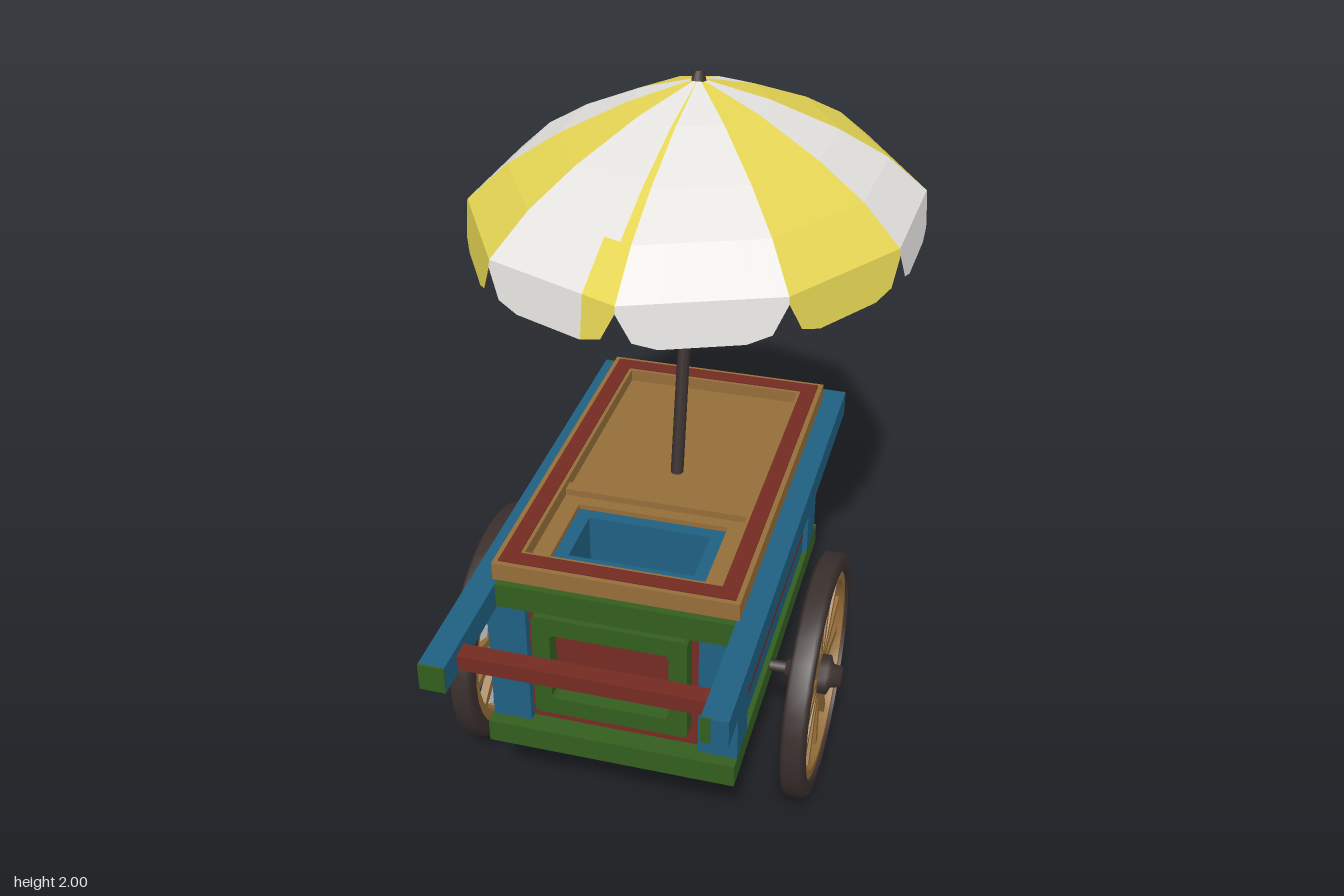
import * as THREE from 'three';

const mat = (name, color) => {
  const m = new THREE.MeshStandardMaterial({ color });
  m.name = name;
  return m;
};

export function createModel() {
  const yellow = mat('canopy yellow', 0xeedd58);
  const white = mat('canopy white', 0xe6e4e1);
  const underYellow = mat('lining brown', 0x956632);
  const underWhite = mat('lining grey', 0x7f6e69);
  const blue = mat('blue paint', 0x206082);
  const red = mat('red paint', 0x742b22);
  const green = mat('green paint', 0x345e1f);
  const tan = mat('tan wood', 0x966e3a);
  const dark = mat('dark iron', 0x3a302e);
  const black = mat('black underside', 0x1e1a19);

  const model = new THREE.Group();
  model.name = 'umbrellaCart';
  const add = (geo, m, name, parent = model) => {
    const mesh = new THREE.Mesh(geo, m);
    mesh.name = name;
    parent.add(mesh);
    return mesh;
  };
  // Box given by its lower and upper limits on each axis
  const slab = (x0, x1, y0, y1, z0, z1, m, name) => {
    const mesh = add(new THREE.BoxGeometry(x1 - x0, y1 - y0, z1 - z0), m, name);
    mesh.position.set((x0 + x1) / 2, (y0 + y1) / 2, (z0 + z1) / 2);
  };
  // Outline of a rectangle with cut corners
  const outline = (w, h, c, Kind) => new Kind([
    [-w + c, -h], [w - c, -h], [w, -h + c], [w, h - c],
    [w - c, h], [-w + c, h], [-w, h - c], [-w, -h + c],
  ].map(([x, y]) => new THREE.Vector2(x, y)));
  const ring = (w, h, hw, hh, depth, c = 0.001) => {
    const s = outline(w, h, c, THREE.Shape);
    s.holes.push(outline(hw, hh, c, THREE.Path));
    return new THREE.ExtrudeGeometry(s, { depth, bevelEnabled: false });
  };
  const flatRing = (w, h, hw, hh, depth, x, y, z, m, name) =>
    add(ring(w, h, hw, hh, depth).rotateX(-Math.PI / 2), m, name).position.set(x, y, z);

  const cx = -0.02; // middle of the cart body

  // Base
  slab(cx - 0.355, cx + 0.35, 0.3, 0.37, -0.5, 0.66, green, 'base');
  slab(cx - 0.335, cx + 0.33, 0.296, 0.302, -0.48, 0.5, black, 'underside');
  slab(cx - 0.335, cx + 0.33, 0.296, 0.302, 0.5, 0.64, blue, 'undersideFront');

  // Posts, side sills and planks
  for (const s of [-1, 1]) {
    const side = (a, b, ...rest) => slab(cx + Math.min(s * a, s * b), cx + Math.max(s * a, s * b), ...rest);
    side(0.24, 0.35, 0.37, 0.78, 0.51, 0.625, blue, 'frontPost');
    side(0.28, 0.35, 0.37, 0.78, -0.46, -0.34, blue, 'backPost');
    side(0.29, 0.335, 0.37, 0.43, -0.34, 0.51, blue, 'sideSill');
    side(0.29, 0.32, 0.43, 0.79, -0.34, 0.51, dark, 'plankBacking');
    for (let i = 0; i < 3; i++) {
      const y = 0.43 + i * 0.115;
      side(0.3, 0.335, y, y + 0.11, -0.34, 0.51, red, 'sidePlank');
    }
  }

  // End panels with raised frames
  slab(cx - 0.25, cx + 0.25, 0.37, 0.79, 0.56, 0.6, red, 'frontPanel');
  add(ring(0.215, 0.165, 0.165, 0.11, 0.05, 0.008), green, 'frontPanelFrame').position.set(cx, 0.6, 0.6);
  slab(cx - 0.29, cx + 0.29, 0.37, 0.79, -0.455, -0.42, red, 'backPanel');
  add(ring(0.3, 0.165, 0.25, 0.115, 0.04, 0.04), green, 'backPanelFrame').position.set(cx, 0.575, -0.495);

  // Handle beams, cross beams and push bar
  for (const [x0, x1] of [[-0.4, -0.33], [0.32, 0.39]]) {
    slab(x0, x1, 0.775, 0.853, -0.555, 0.995, blue, 'handleBeam');
  }
  slab(-0.4, -0.33, 0.775, 0.853, 0.995, 1, green, 'rightBeamFrontEnd');
  slab(0.32, 0.345, 0.775, 0.853, 0.995, 1, green, 'leftBeamFrontEnd');
  slab(0.345, 0.39, 0.775, 0.853, 0.995, 1, blue, 'leftBeamFrontEnd');
  slab(0.355, 0.39, 0.775, 0.853, -0.56, -0.555, green, 'leftBeamBackEnd');
  slab(-0.4, -0.365, 0.775, 0.853, -0.56, -0.555, green, 'rightBeamBackEnd');
  slab(-0.33, 0.32, 0.78, 0.853, 0.59, 0.65, green, 'frontCrossBeam');
  slab(-0.365, 0.355, 0.775, 0.853, -0.56, -0.44, blue, 'backCrossBeam');
  slab(-0.335, 0.325, 0.785, 0.83, 0.87, 0.92, red, 'pushBar');

  // Counter top: rim, inlay, deck and well
  const tx = -0.008;
  flatRing(0.336, 0.565, 0.266, 0.495, 0.06, tx, 0.845, 0.065, tan, 'topRim');
  flatRing(0.322, 0.551, 0.276, 0.505, 0.005, tx, 0.903, 0.065, red, 'topInlay');
  slab(tx - 0.27, tx + 0.27, 0.84, 0.868, -0.435, 0.2, tan, 'deck');
  slab(tx - 0.266, tx + 0.266, 0.84, 0.885, 0.19, 0.225, tan, 'deckEdge');
  flatRing(0.268, 0.175, 0.215, 0.125, 0.03, tx, 0.835, 0.385, tan, 'wellLedge');
  flatRing(0.225, 0.135, 0.175, 0.09, 0.22, tx, 0.63, 0.385, blue, 'wellWall');
  slab(tx - 0.2, tx + 0.2, 0.62, 0.65, 0.27, 0.5, blue, 'wellFloor');

  // Wheels
  const spokes = 14;
  for (const [x, s] of [[-0.5, -1], [0.468, 1]]) {
    const wheel = new THREE.Group();
    wheel.name = s < 0 ? 'rightWheel' : 'leftWheel';
    const hoop = (r0, r1, w, m, name) => {
      const b = Math.min(0.012, w / 3);
      const pts = [[r0, -w], [r1 - b, -w], [r1, -w + b], [r1, w - b], [r1 - b, w], [r0, w], [r0, -w]];
      const prof = pts.map(([r, y]) => new THREE.Vector2(r, y));
      add(new THREE.LatheGeometry(prof, 32).rotateZ(Math.PI / 2), m, name, wheel);
    };
    hoop(0.305, 0.35, 0.034, dark, 'tyre');
    hoop(0.272, 0.307, 0.026, tan, 'rim');
    const radial = (i, w, h, d, r, m, name) => {
      const g = new THREE.BoxGeometry(w, h, d).translate(0, r, 0);
      add(g.rotateX(i / spokes * Math.PI * 2), m, name, wheel);
    };
    for (let i = 0; i < spokes; i++) radial(i, 0.024, 0.25, 0.026, 0.16, tan, 'spoke');
    // pale infill plates between some spokes
    for (const i of [2, 3, 5, 6, 8]) radial(i + 0.5, 0.009, 0.1, 0.036, 0.205, white, 'infillPlate');
    const hub = [[0, -0.09], [0.025, -0.09], [0.035, -0.04], [0.058, -0.03], [0.058, 0.035], [0.035, 0.045], [0.03, 0.075], [0, 0.075]];
    const hubGeo = new THREE.LatheGeometry(hub.map(([r, y]) => new THREE.Vector2(r, y)), 12);
    add(hubGeo.rotateZ(-s * Math.PI / 2), dark, 'hub', wheel);
    wheel.position.set(x, 0.35, 0.2);
    wheel.scale.z = 1.06;
    model.add(wheel);
  }
  add(new THREE.CylinderGeometry(0.018, 0.018, 0.9, 8).rotateZ(Math.PI / 2), dark, 'axle').position.set(cx, 0.35, 0.2);

  // Tilted umbrella pole and finial
  const foot = new THREE.Vector3(0, 0.85, 0.035), apex = new THREE.Vector3(0, 1.975, -0.19);
  const dir = apex.clone().sub(foot);
  const tilt = new THREE.Quaternion().setFromUnitVectors(new THREE.Vector3(0, 1, 0), dir.clone().normalize());
  const pole = add(new THREE.CylinderGeometry(0.017, 0.019, dir.length(), 8), dark, 'pole');
  pole.position.copy(foot).addScaledVector(dir, 0.5);
  pole.quaternion.copy(tilt);
  const finial = add(new THREE.CylinderGeometry(0.014, 0.022, 0.03, 8), dark, 'finial');
  finial.position.set(0, 1.978, -0.192);
  finial.quaternion.copy(tilt);

  // Canopy: ten panels running clockwise from the back, each with a scalloped flap
  const half = [[0, -0.98], [0.36, -0.86], [0.6, -0.42], [0.59, 0.03], [0.38, 0.41], [0, 0.585]];
  const rimPts = [...half, ...half.slice(1, 5).reverse().map(([x, z]) => [-x, z])];
  const isYellow = [0, 1, 0, 1, 0, 0, 1, 0, 1, 1];
  const rings = [[0, 0], [0.3, 0.19], [0.6, 0.45], [0.82, 0.7], [1, 1]];
  const cols = [[0, 0.02], [0.1, 0.095], [0.25, 0.115], [0.75, 0.115], [0.9, 0.095], [1, 0.02]];
  // inset moves the lining in below the cloth; both meet at the flap's lower edge
  const point = (i, c, k, inset) => {
    const [u, drop] = cols[c], p = rimPts[i], q = rimPts[(i + 1) % 10];
    const [t, g] = rings[Math.min(k, 4)];
    const flap = k > 4;
    const out = flap ? 1 + drop * 0.22 : t * (1 - inset);
    const x = (p[0] + (q[0] - p[0]) * u) * out;
    const dz = (p[1] + (q[1] - p[1]) * u - apex.z) * out;
    return [x, apex.y - 0.335 * g + 0.065 * dz - (flap ? drop : inset), apex.z + dz];
  };
  const tops = [[], []], linings = [[], []];
  for (let i = 0; i < 10; i++) {
    for (let c = 0; c < 5; c++) {
      for (let k = 0; k < 5; k++) {
        const corners = (inset) => [[c, k], [c + 1, k], [c + 1, k + 1], [c, k + 1]].map(([m, n]) => point(i, m, n, inset));
        // a yellow stripe, wider near the rim, marks the front seam
        const stripe = i === 5 && (c === 0 || (c === 1 && k > 2));
        const top = tops[isYellow[i] || stripe ? 1 : 0], lining = linings[isYellow[i]];
        const [a, b, d, e] = corners(0), [la, lb, ld, le] = corners(0.008);
        top.push(...a, ...d, ...e);
        lining.push(...la, ...le, ...ld);
        if (k > 0) {
          top.push(...a, ...b, ...d);
          lining.push(...la, ...ld, ...lb);
        }
      }
    }
  }
  const canopy = new THREE.Group();
  canopy.name = 'canopy';
  const surface = (pos, m, name) => {
    const g = new THREE.BufferGeometry();
    g.setAttribute('position', new THREE.Float32BufferAttribute(pos, 3));
    g.computeVertexNormals();
    add(g, m, name, canopy);
  };
  surface(tops[0], white, 'whitePanels');
  surface(tops[1], yellow, 'yellowPanels');
  surface(linings[0], underWhite, 'greyLining');
  surface(linings[1], underYellow, 'brownLining');
  model.add(canopy);

  return model;
}
